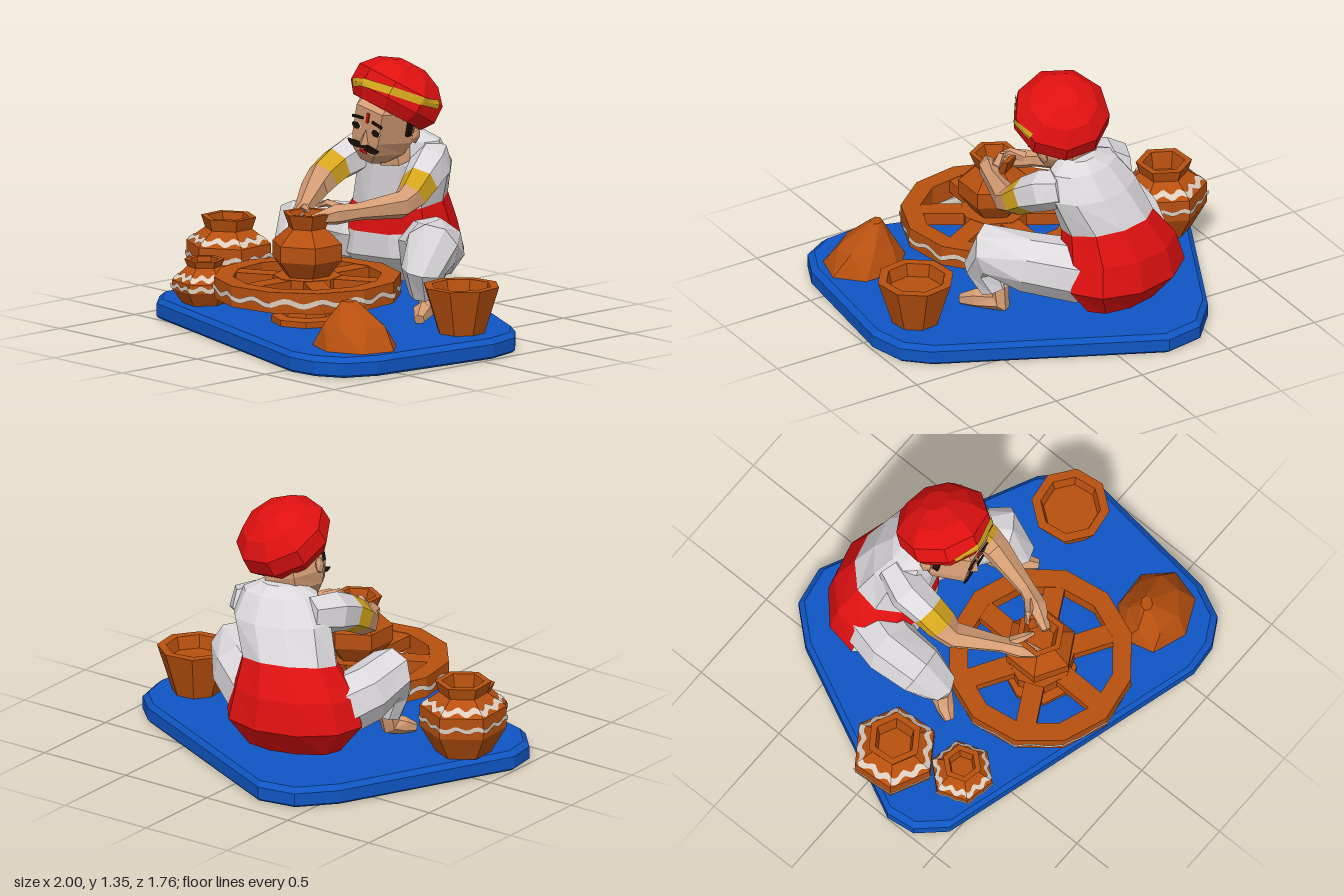
import * as THREE from 'three';

const mat = (name, color) => Object.assign(new THREE.MeshStandardMaterial({ color, flatShading: true }), { name });
const M = {
  blue: mat('base blue', 0x0f56c4),
  clay: mat('terracotta', 0xb8500f),
  slip: mat('pale slip', 0xdccdbf),
  white: mat('white cloth', 0xdcd9dc),
  red: mat('red cloth', 0xe01010),
  gold: mat('gold trim', 0xd4a51c),
  skin: mat('skin', 0xd49c74),
  black: mat('black hair', 0x1a0f0c),
};
const TAU = Math.PI * 2;
const V = (x, y, z) => new THREE.Vector3(x, y, z);

// Joins rings of points with faces; pick(i, j) chooses the material of each face
function skin(name, rings, mats, { pick = () => 0, caps = true, closed = true } = {}) {
  mats = [].concat(mats);
  const buckets = mats.map(() => []);
  const tri = (m, ...ps) => ps.forEach(p => buckets[m].push(p.x, p.y, p.z));
  const n = rings[0].length, last = rings.length - 1;
  for (let i = 0; i < last; i++) {
    for (let j = 0; j < (closed ? n : n - 1); j++) {
      const k = (j + 1) % n, m = pick(i, j);
      tri(m, rings[i][j], rings[i + 1][j], rings[i + 1][k]);
      tri(m, rings[i][j], rings[i + 1][k], rings[i][k]);
    }
  }
  if (caps) for (const i of [0, last]) {
    const r = rings[i], c = r.reduce((s, p) => s.add(p), V(0, 0, 0)).divideScalar(n);
    r.forEach((p, j) => {
      const q = r[(j + 1) % n], m = pick(Math.min(i, last - 1), j);
      i ? tri(m, c, q, p) : tri(m, c, p, q);
    });
  }
  const geo = new THREE.BufferGeometry();
  geo.setAttribute('position', new THREE.Float32BufferAttribute(buckets.flat(), 3));
  let start = 0;
  buckets.forEach((b, m) => { geo.addGroup(start, b.length / 3, m); start += b.length / 3; });
  geo.computeVertexNormals();
  const mesh = new THREE.Mesh(geo, mats);
  mesh.name = name;
  return mesh;
}

// Ellipse ring [cx, y, cz, rx, rz] with optional yaw and forward slope
function ellipse([cx, y, cz, rx, rz, slope = 0], n, yaw = 0, rot = 0) {
  return Array.from({ length: n }, (_, j) => {
    const a = rot + j / n * TAU;
    return V(rx * Math.cos(a), y - slope * Math.sin(a), rz * Math.sin(a))
      .applyAxisAngle(V(0, 1, 0), yaw).add(V(cx, 0, cz));
  });
}

// Faceted turned shape from [radius, y] points
const turned = (name, profile, n, rot, m, opts) =>
  skin(name, profile.map(([r, y]) => ellipse([0, y, 0, r, r], n, 0, rot)), m, opts);

// Thin painted stripe that follows a turned shape
function stripe(name, profile, n, rot, m, height, width, a0 = rot, a1 = rot + TAU, steps = n * 10) {
  const rows = [-0.5, 0, 0.5].map(s => Array.from({ length: steps + 1 }, (_, i) => {
    const t = i / steps, a = a0 + (a1 - a0) * t, h = height(t) + s * width;
    const k = Math.max(0, profile.findIndex((p, q) => profile[q + 1] && h >= p[1] && h <= profile[q + 1][1]));
    const [r0, y0] = profile[k], [r1, y1] = profile[k + 1];
    const r = r0 + (r1 - r0) * (h - y0) / (y1 - y0), step = TAU / n;
    const f = (((a - rot) % step) + step) % step - step / 2;
    const d = r * Math.cos(step / 2) / Math.cos(f) + 0.007;
    return V(d * Math.cos(a), h, d * Math.sin(a));
  }));
  return skin(name, rows, m, { caps: false, closed: false });
}

// Limb through points [x, y, z, radius]
function limb(name, pts, n, mats, pick) {
  const c = pts.map(p => V(p[0], p[1], p[2]));
  const rings = pts.map((p, i) => {
    const d = c[Math.min(i + 1, c.length - 1)].clone().sub(c[Math.max(i - 1, 0)]).normalize();
    const u = V(1, 0, 0).cross(d).normalize(), v = u.clone().cross(d);
    return Array.from({ length: n }, (_, j) => c[i].clone()
      .addScaledVector(u, p[3] * Math.cos(j / n * TAU)).addScaledVector(v, p[3] * Math.sin(j / n * TAU)));
  });
  return skin(name, rings, mats, { pick });
}

function group(name, x, y, z, ...kids) {
  const g = new THREE.Group();
  g.name = name;
  g.position.set(x, y, z);
  if (kids.length) g.add(...kids);
  return g;
}

function part(name, geo, m, x, y, z) {
  const mesh = new THREE.Mesh(geo, m);
  mesh.name = name;
  mesh.position.set(x, y, z);
  return mesh;
}

function buildBase() {
  const outline = [[0.995, -0.08], [0.915, 0.625], [0.84, 0.785], [0.71, 0.86], [0.55, 0.875], [-0.86, 0.48], [-0.98, 0.35],
    [-1, 0.2], [-0.58, -0.68], [-0.43, -0.85], [-0.23, -0.885], [0.835, -0.37], [0.95, -0.26]];
  const level = (s, y) => outline.map(([x, z]) => V(x * s, y, z * s));
  return skin('base', [level(0.985, 0), level(1, 0.012), level(1, 0.075), level(0.97, 0.1)], M.blue);
}

function buildPot(name, x, z, profile, n, rot, stripes) {
  const g = group(name, x, 0, z, turned(name + 'Body', profile, n, rot, M.clay));
  stripes.forEach(y => g.add(stripe('waveStripe', profile, n, rot, M.slip, t => y + 0.009 * Math.sin(t * TAU * 12), 0.022)));
  return g;
}

function buildWheel() {
  const rim = [[0.465, 0.23], [0.465, 0.335], [0.37, 0.335], [0.37, 0.23], [0.465, 0.23]];
  const g = group('pottersWheel', 0.05, 0, 0.305,
    turned('wheelRim', rim, 12, 0.1, M.clay, { caps: false }),
    stripe('rimStripe', rim, 12, 0.1, M.slip, t => 0.28 + 0.012 * Math.sin(t * TAU * 16), 0.026),
    turned('wheelStand', [[0.18, 0.1], [0.18, 0.13], [0.13, 0.14], [0.12, 0.2], [0.17, 0.24], [0.17, 0.335]], 8, 0, M.clay));
  for (let i = 0; i < 6; i++) {
    const spoke = group('spoke', 0, 0.3, 0, part('spokeBar', new THREE.BoxGeometry(0.3, 0.065, 0.1), M.clay, 0.25, 0, 0));
    spoke.rotation.y = i * TAU / 6 + 0.5;
    g.add(spoke);
  }
  return g;
}

function buildHead() {
  const head = group('head', 0.01, 1.0, -0.265);
  head.rotation.set(0.08, 0.15, -0.25);
  const levels = [[0, -0.16, 0.06, 0.07, 0.08], [0, -0.1, 0.01, 0.135, 0.175], [0, -0.03, 0, 0.165, 0.19],
    [0, 0.13, 0, 0.165, 0.19], [0, 0.2, -0.04, 0.13, 0.13]];
  head.add(skin('face', levels.map(l => ellipse(l, 6)), M.skin));
  const z = 0.169;
  for (const s of [-1, 1]) {
    const white = part('eyeWhite', new THREE.CircleGeometry(0.03, 10), M.white, s * 0.062, 0.025, z);
    const eye = part('eye', new THREE.CircleGeometry(0.025, 10), M.black, s * 0.062, 0.025, z + 0.003);
    white.scale.y = 0.6; eye.scale.y = 0.75;
    const brow = part('eyebrow', new THREE.BoxGeometry(0.065, 0.013, 0.008), M.black, s * 0.062, 0.07, z);
    brow.rotation.z = -s * 0.15;
    const ear = part('ear', new THREE.IcosahedronGeometry(0.035, 0), M.skin, s * 0.16, 0, -0.03);
    ear.scale.set(0.5, 1.3, 1);
    head.add(white, eye, brow, ear, part('sideburn', new THREE.BoxGeometry(0.02, 0.08, 0.035), M.black, s * 0.153, 0.05, 0.02));
  }
  // Curled moustache
  const m = new THREE.Shape();
  m.moveTo(0, -0.05);
  m.quadraticCurveTo(0.06, -0.055, 0.1, -0.06);
  m.quadraticCurveTo(0.075, -0.105, 0, -0.075);
  m.quadraticCurveTo(-0.075, -0.105, -0.1, -0.06);
  m.quadraticCurveTo(-0.06, -0.055, 0, -0.05);
  const nose = part('nose', new THREE.ConeGeometry(0.028, 0.08, 4), M.skin, 0, -0.015, z);
  head.add(part('moustache', new THREE.ExtrudeGeometry(m, { depth: 0.009, bevelEnabled: false, curveSegments: 5 }), M.black, 0, 0, z - 0.002),
    nose, part('mouth', new THREE.BoxGeometry(0.045, 0.014, 0.009), M.red, 0, -0.096, 0.163),
    part('foreheadMark', new THREE.BoxGeometry(0.014, 0.05, 0.008), M.red, 0, 0.085, z));
  return head;
}

function buildTurban() {
  const profile = [[0.195, 0], [0.24, 0.06], [0.238, 0.15], [0.17, 0.225], [0.07, 0.268]];
  const g = group('turban', 0.025, 1.07, -0.26,
    turned('turbanWrap', profile, 9, 0.2, M.red),
    stripe('turbanBand', profile, 9, 0.2, M.gold, t => 0.05 + 0.1 * t, 0.042, 2.15, -0.35, 40));
  // Band runs clockwise, so turn its faces outward
  const p = g.children[1].geometry.attributes.position;
  for (let i = 0; i < p.count; i += 3) {
    const a = V().fromBufferAttribute(p, i + 1), b = V().fromBufferAttribute(p, i + 2);
    p.setXYZ(i + 1, b.x, b.y, b.z);
    p.setXYZ(i + 2, a.x, a.y, a.z);
  }
  g.children[1].geometry.computeVertexNormals();
  g.rotation.set(-0.5, 0, -0.18);
  return g;
}

function buildPotter() {
  // Torso: red wrap behind and round the waist, white elsewhere
  const torso = [[-0.18, 0.18, -0.53, 0.25, 0.13], [-0.18, 0.32, -0.515, 0.36, 0.26], [-0.17, 0.46, -0.5, 0.32, 0.25, 0.02],
    [-0.12, 0.6, -0.475, 0.25, 0.205, 0.04], [-0.05, 0.8, -0.445, 0.26, 0.17], [-0.02, 0.92, -0.415, 0.2, 0.12],
    [0, 0.965, -0.4, 0.09, 0.08]].map(s => ellipse(s, 10, 0.25));
  const cloth = (i, j) => i === 2 || (i < 2 && j >= 5) ? 1 : 0;
  const sleeve = i => i < 2 ? 0 : i === 2 ? 1 : 2;
  const armMats = [M.white, M.gold, M.skin];
  return group('potter', 0, 0, 0,
    skin('torso', torso, [M.white, M.red], { pick: cloth }),
    limb('neck', [[0, 0.84, -0.34, 0.11], [0.01, 0.92, -0.31, 0.085], [0.015, 0.99, -0.3, 0.08]], 7, M.skin),
    limb('rightArm', [[-0.2, 0.84, -0.43, 0.09], [-0.25, 0.82, -0.29, 0.105], [-0.25, 0.78, -0.17, 0.092], [-0.25, 0.73, -0.08, 0.085],
      [-0.24, 0.68, -0.01, 0.07], [-0.11, 0.625, 0.19, 0.042], [-0.06, 0.6, 0.27, 0.05], [-0.01, 0.57, 0.35, 0.024]], 6, armMats, sleeve),
    limb('leftArm', [[0.13, 0.84, -0.47, 0.09], [0.19, 0.81, -0.39, 0.105], [0.23, 0.75, -0.29, 0.092], [0.25, 0.69, -0.21, 0.08],
      [0.25, 0.655, -0.14, 0.07], [0.19, 0.645, 0.1, 0.044], [0.15, 0.64, 0.2, 0.052], [0.09, 0.62, 0.31, 0.024]], 6, armMats, sleeve),
    limb('rightThumb', [[-0.07, 0.63, 0.22, 0.03], [-0.01, 0.66, 0.26, 0.02], [0.03, 0.65, 0.28, 0.012]], 5, M.skin),
    limb('leftThumb', [[0.14, 0.66, 0.16, 0.03], [0.08, 0.69, 0.2, 0.02], [0.04, 0.67, 0.23, 0.012]], 5, M.skin),
    limb('rightLeg', [[-0.33, 0.36, -0.5, 0.16], [-0.41, 0.41, -0.25, 0.15], [-0.42, 0.46, -0.07, 0.135],
      [-0.39, 0.34, 0, 0.1], [-0.37, 0.22, -0.01, 0.075]], 8, M.white),
    limb('leftLeg', [[0.04, 0.36, -0.5, 0.16], [0.27, 0.41, -0.35, 0.15], [0.4, 0.45, -0.21, 0.135],
      [0.39, 0.34, -0.16, 0.11], [0.36, 0.22, -0.2, 0.08]], 8, M.white),
    limb('rightFoot', [[-0.37, 0.25, -0.01, 0.05], [-0.37, 0.155, 0.02, 0.055], [-0.41, 0.14, 0.08, 0.045], [-0.44, 0.12, 0.13, 0.025]], 6, M.skin),
    limb('leftFoot', [[0.35, 0.26, -0.22, 0.05], [0.35, 0.155, -0.24, 0.055], [0.42, 0.145, -0.13, 0.05], [0.47, 0.12, -0.06, 0.028]], 6, M.skin),
    buildHead(), buildTurban());
}

export function createModel() {
  const P6 = Math.PI / 6;
  // Lump of raw clay with an off-centre peak
  const lump = [[0.66, 0.1, 0.54, 0.225, 0.19], [0.65, 0.21, 0.54, 0.16, 0.13], [0.6, 0.32, 0.53, 0.04, 0.03]];
  return group('potterAtWheel', 0, 0, 0,
    buildBase(), buildWheel(), buildPotter(),
    buildPot('wheelPot', 0.05, 0.305, [[0.11, 0.33], [0.18, 0.42], [0.18, 0.5], [0.095, 0.575], [0.125, 0.65], [0.095, 0.65], [0.07, 0.58]], 6, P6, []),
    buildPot('largePot', -0.785, 0.065, [[0.14, 0.1], [0.215, 0.23], [0.215, 0.34], [0.12, 0.41], [0.14, 0.47], [0.105, 0.47], [0.09, 0.38]], 6, 0.45, [0.365, 0.28]),
    buildPot('smallPot', -0.63, 0.37, [[0.11, 0.1], [0.16, 0.17], [0.16, 0.215], [0.085, 0.285], [0.1, 0.32], [0.07, 0.32], [0.06, 0.26]], 6, 0.2, [0.24, 0.19]),
    buildPot('cup', 0.75, -0.085, [[0.12, 0.1], [0.195, 0.335], [0.15, 0.335], [0.135, 0.27]], 8, 0.25, []),
    skin('clayLump', lump.map((l, i) => ellipse(l, 7, 0.25 + i * 0.25)), M.clay));
}
